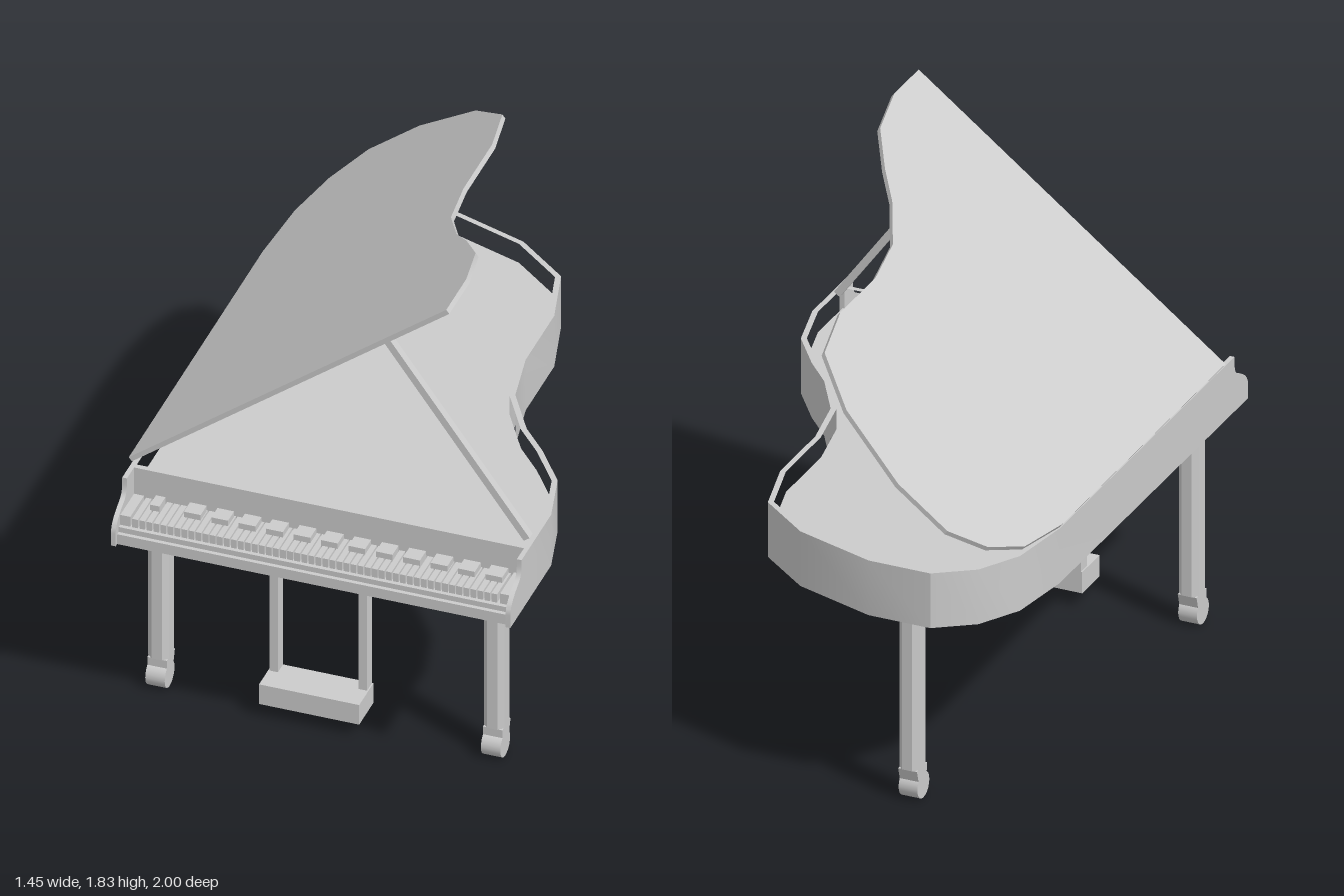
import * as THREE from 'three';
import { toCreasedNormals } from 'three/addons/utils/BufferGeometryUtils.js';

const material = new THREE.MeshStandardMaterial({ color: 0xcccccc });
const V = (x, y) => new THREE.Vector2(x, y);

const HINGE_X = -0.715, TOP = 0.937, BOTTOM = 0.73;
const LID_ANGLE = Math.atan2(0.87, 1.14);

// Plan outline (x, z): right bent side from the front, round the tail, up the straight left side
const bentSide = [
  [0.72, 0.6], [0.67, 0.4], [0.56, 0.25], [0.465, 0.145], [0.36, -0.03], [0.32, -0.24], [0.32, -0.52],
  [0.26, -0.75], [0.07, -0.9], [-0.23, -1], [-0.46, -1], [-0.595, -0.905], [-0.68, -0.755], [-0.715, -0.515],
];
const outline = (front) => [[0.72, front], ...bentSide, [HINGE_X, front]].map(([x, z]) => V(x, z));

// Mitred inward offset of a closed outline
function inset(points, t) {
  const n = points.length;
  return points.map((p, i) => {
    const a = p.clone().sub(points[(i + n - 1) % n]).normalize();
    const b = points[(i + 1) % n].clone().sub(p).normalize();
    const na = V(a.y, -a.x), nb = V(b.y, -b.x);
    const m = na.clone().add(nb);
    return p.clone().addScaledVector(m, -t / (1 + na.dot(nb)) * inwardSign);
  });
}
const inwardSign = THREE.ShapeUtils.isClockWise(outline(0.82)) ? -1 : 1;

function add(parent, name, geometry, x = 0, y = 0, z = 0) {
  const mesh = new THREE.Mesh(geometry, material);
  mesh.name = name;
  mesh.position.set(x, y, z);
  parent.add(mesh);
  return mesh;
}

// Box given by its limits
function box(parent, name, x0, x1, y0, y1, z0, z1) {
  return add(parent, name, new THREE.BoxGeometry(x1 - x0, y1 - y0, z1 - z0),
    (x0 + x1) / 2, (y0 + y1) / 2, (z0 + z1) / 2);
}

// Horizontal slab from a plan outline; its top lies at y = 0
function slab(points, depth, hole) {
  const shape = new THREE.Shape(points);
  if (hole) shape.holes.push(new THREE.Path(hole));
  const g = new THREE.ExtrudeGeometry(shape, { depth, bevelEnabled: false });
  return toCreasedNormals(g.rotateX(Math.PI / 2), 0.6);
}

function addCase(model) {
  const outer = outline(0.82), inner = inset(outer, 0.02);
  add(model, 'rim', slab(outer, TOP - BOTTOM, inner), 0, TOP);
  add(model, 'soundboard', slab(inner, 0.86 - BOTTOM), 0, 0.86);

  // Curved cheeks at both ends of the keyboard
  const profile = new THREE.Shape();
  profile.moveTo(-1, BOTTOM);
  profile.lineTo(-0.82, BOTTOM);
  profile.lineTo(-0.82, TOP);
  profile.lineTo(-0.89, TOP);
  profile.bezierCurveTo(-0.885, 0.85, -0.92, 0.87, -0.965, 0.835);
  profile.quadraticCurveTo(-1, 0.81, -1, 0.78);
  const cheek = toCreasedNormals(new THREE.ExtrudeGeometry(profile,
    { depth: 0.017, bevelEnabled: false, curveSegments: 8 }).rotateY(Math.PI / 2), 0.6);
  add(model, 'leftCheek', cheek, 0.703);
  add(model, 'rightCheek', cheek, HINGE_X);
}

function addKeyboard(model) {
  box(model, 'keyBed', -0.7, 0.705, BOTTOM, 0.77, 0.82, 0.985);
  box(model, 'keySlip', -0.7, 0.705, 0.77, 0.79, 0.82, 0.97);
  box(model, 'rightKeyBlock', -0.7, -0.662, 0.79, 0.83, 0.82, 0.955);
  box(model, 'leftKeyBlock', 0.667, 0.705, 0.79, 0.83, 0.82, 0.955);
  const keys = new THREE.Group();
  keys.name = 'keys';
  model.add(keys);
  const count = 52, pitch = 1.316 / count;
  for (let i = 0; i < count; i++) {
    const x = -0.655 + i * pitch;
    box(keys, 'naturalKey', x, x + pitch * 0.8, 0.79, 0.824, 0.82, 0.955);
  }
  for (let i = 0; i < 12; i++) {
    const x = -0.465 + i * 0.0985;
    box(keys, 'raisedKey', x - 0.03, x + 0.03, 0.815, 0.846, 0.825, 0.885);
  }
  box(keys, 'raisedKey', -0.617, -0.583, 0.815, 0.846, 0.825, 0.885);
}

function addLeg(model, name, x, z) {
  const leg = new THREE.Group();
  leg.name = name;
  leg.position.set(x, 0, z);
  model.add(leg);
  // Column with chamfered corners
  const w = 0.0375, d = 0.043, c = 0.019;
  const section = [[w, c - d], [w, d - c], [w - c, d], [c - w, d], [-w, d - c], [-w, c - d], [c - w, -d], [w - c, -d]];
  add(leg, 'column', slab(section.map(([a, b]) => V(a, b)), BOTTOM - 0.12), 0, BOTTOM);
  // Neck tapering down to the caster
  const neck = new THREE.BoxGeometry(0.07, 0.06, 0.08);
  const p = neck.attributes.position;
  for (let i = 0; i < p.count; i++) if (p.getY(i) < 0) p.setZ(i, p.getZ(i) * 0.75 + 0.008);
  neck.computeVertexNormals();
  add(leg, 'neck', neck, 0, 0.09, 0);
  add(leg, 'caster', new THREE.CylinderGeometry(0.048, 0.048, 0.07, 20).rotateZ(Math.PI / 2), 0, 0.048, 0.012);
}

function addPedals(model) {
  const lyre = new THREE.Group();
  lyre.name = 'pedalLyre';
  model.add(lyre);
  box(lyre, 'pedalBox', -0.26, 0.1, 0.055, 0.135, 0.65, 0.79);
  for (const x of [-0.24, 0.08]) box(lyre, 'lyrePost', x - 0.015, x + 0.015, 0.135, BOTTOM, 0.65, 0.7);
}

function addLid(model) {
  // Raised lid, pivoted on the straight right-hand edge
  const plan = outline(0.795).map((q) => V(q.x - HINGE_X, q.y));
  const lid = add(model, 'lid', slab(plan, 0.018), HINGE_X - 0.011, 0.942 + 0.0145, 0);
  lid.rotation.z = LID_ANGLE;

  // Prop stick between rim and lid
  const foot = V(0.695, 0.94), head = V(0.19, 1.635);
  const span = head.clone().sub(foot);
  const mid = foot.clone().add(head).multiplyScalar(0.5);
  const prop = add(model, 'lidProp', new THREE.BoxGeometry(0.026, span.length(), 0.03), mid.x, mid.y, 0.757);
  prop.rotation.z = span.angle() - Math.PI / 2;
}

export function createModel() {
  const model = new THREE.Group();
  model.name = 'grandPiano';
  addCase(model);
  addKeyboard(model);
  addLeg(model, 'rightFrontLeg', -0.643, 0.705);
  addLeg(model, 'leftFrontLeg', 0.563, 0.705);
  addLeg(model, 'backLeg', -0.33, -0.863);
  addPedals(model);
  addLid(model);
  return model;
}
